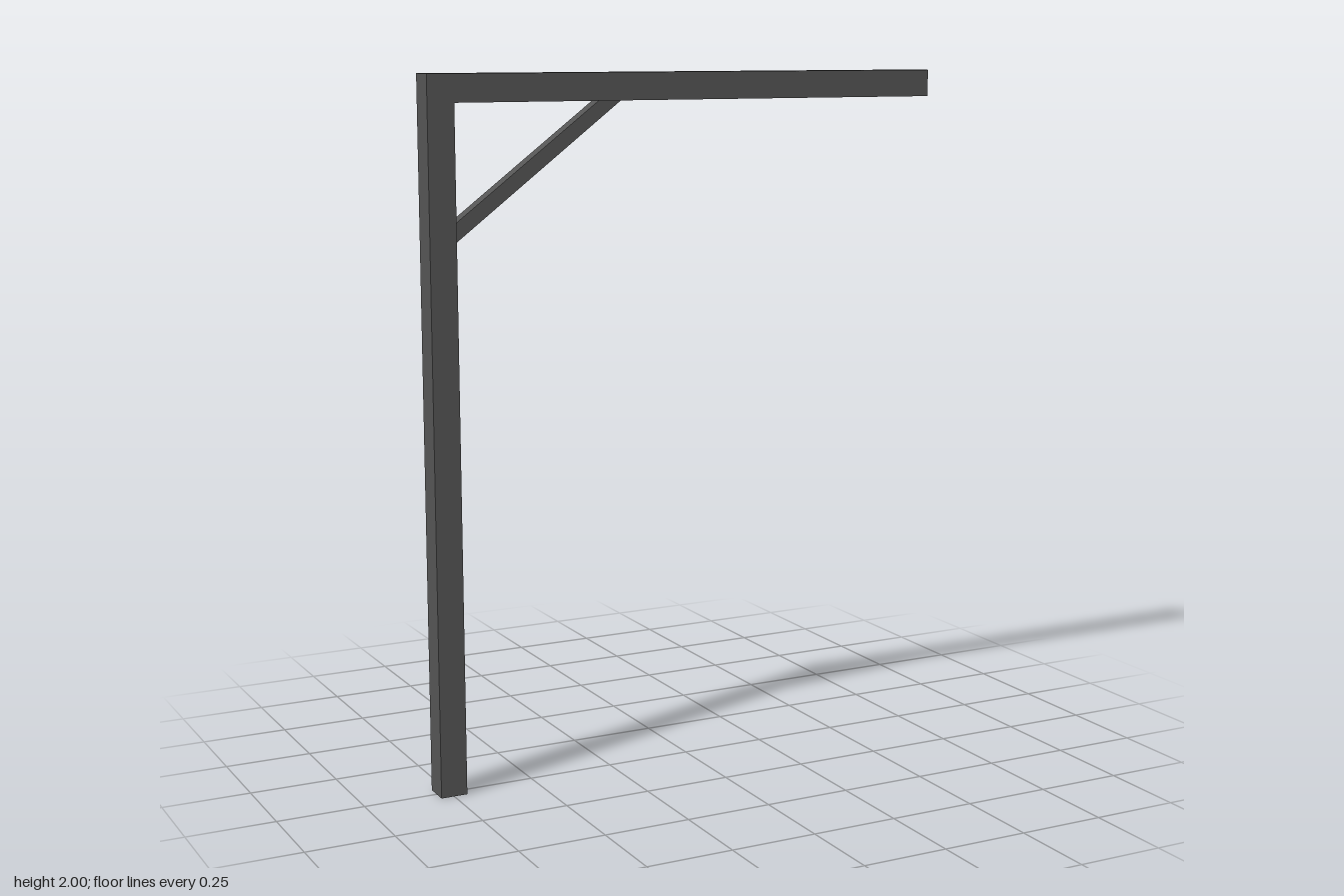
import * as THREE from 'three';

// Flat outline in x/y, extruded evenly about z = 0
function extrudeCentred(points, depth) {
  const shape = new THREE.Shape(points.map(([x, y]) => new THREE.Vector2(x, y)));
  const geometry = new THREE.ExtrudeGeometry(shape, { depth, bevelEnabled: false });
  return geometry.translate(0, 0, -depth / 2);
}

export function createModel() {
  const darkGrey = new THREE.MeshStandardMaterial({ color: 0x555555 });
  const group = new THREE.Group();
  group.name = 'bracketPost';

  const half = 0.788, height = 2, thick = 0.077;
  const inner = -half + thick;    // inside face of the post
  const under = height - thick;   // underside of the beam

  // Upright post and horizontal beam as one L-shaped frame
  const frame = new THREE.Mesh(extrudeCentred([
    [-half, 0], [inner, 0], [inner, under],
    [half, under], [half, height], [-half, height],
  ], thick), darkGrey);
  frame.name = 'postAndBeam';
  group.add(frame);

  // Diagonal brace, cut flush to the post and the beam
  const brace = new THREE.Mesh(extrudeCentred([
    [inner, 1.545], [-0.212, under], [-0.28, under], [inner, 1.598],
  ], 0.042), darkGrey);
  brace.name = 'diagonalBrace';
  group.add(brace);

  return group;
}
